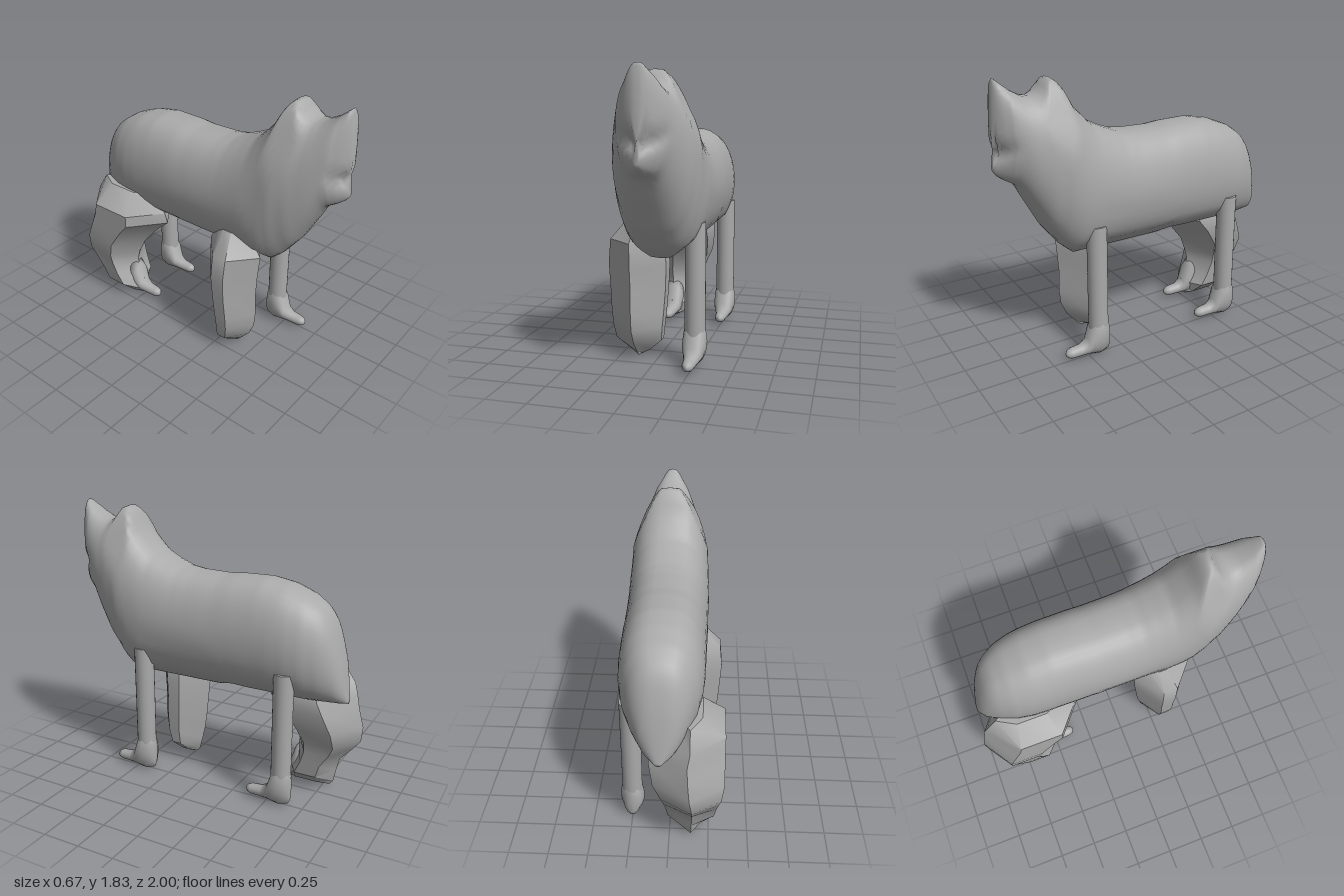
import * as THREE from 'three';
import { toCreasedNormals } from 'three/addons/utils/BufferGeometryUtils.js';

const CX = 0.055; // the body sits slightly off the centre line

// Piecewise linear lookup in [key, value] pairs, keys ascending
function lookup(table, k) {
  if (k <= table[0][0]) return table[0][1];
  for (let i = 1; i < table.length; i++) {
    const [a, va] = table[i - 1], [b, vb] = table[i];
    if (k <= b) return va + (vb - va) * (k - a) / (b - a);
  }
  return table[table.length - 1][1];
}

// Skin between closed rings of [x, y, z] points, capped at both ends
function loft(rings) {
  const n = rings[0].length, pos = rings.flat(2), idx = [];
  const quad = (a, b, c, d) => idx.push(a, b, d, b, c, d);
  for (let r = 0; r < rings.length - 1; r++)
    for (let i = 0; i < n; i++) {
      const j = (i + 1) % n;
      quad(r * n + i, r * n + j, (r + 1) * n + j, (r + 1) * n + i);
    }
  [0, rings.length - 1].forEach((r, end) => {
    const c = pos.length / 3;
    for (let k = 0; k < 3; k++) pos.push(rings[r].reduce((s, p) => s + p[k], 0) / n);
    for (let i = 0; i < n; i++) {
      const a = r * n + i, b = r * n + (i + 1) % n;
      end ? idx.push(a, b, c) : idx.push(b, a, c);
    }
  });
  // Turn the faces outward if the enclosed volume is negative
  const v = i => new THREE.Vector3(pos[i * 3], pos[i * 3 + 1], pos[i * 3 + 2]);
  let volume = 0;
  for (let i = 0; i < idx.length; i += 3) volume += v(idx[i]).dot(v(idx[i + 1]).cross(v(idx[i + 2])));
  if (volume < 0) idx.reverse();
  const geo = new THREE.BufferGeometry();
  geo.setAttribute('position', new THREE.Float32BufferAttribute(pos, 3));
  geo.setIndex(idx);
  geo.computeVertexNormals();
  return geo;
}

// Body profiles along z: back line, belly line and half width
const backLine = [[-0.95, 0.73], [-0.93, 0.86], [-0.9, 1.01], [-0.86, 1.15], [-0.82, 1.24], [-0.77, 1.3],
  [-0.68, 1.36], [-0.55, 1.41], [-0.4, 1.435], [-0.2, 1.43], [-0.1, 1.42], [0.1, 1.425], [0.2, 1.44],
  [0.3, 1.48], [0.4, 1.53], [0.46, 1.59], [0.52, 1.66], [0.58, 1.77], [0.62, 1.81], [0.65, 1.8],
  [0.69, 1.74], [0.75, 1.71], [0.81, 1.72], [0.88, 1.76], [0.94, 1.81], [0.965, 1.83], [0.98, 1.8], [1, 1.56]];
const bellyLine = [[-0.95, 0.7], [-0.3, 0.7], [-0.2, 0.71], [-0.1, 0.69], [0, 0.68], [0.3, 0.675], [0.52, 0.68],
  [0.6, 0.75], [0.7, 0.88], [0.8, 1.06], [0.87, 1.19], [0.94, 1.23], [0.98, 1.26], [1, 1.29]];
const bodyWidth = [[-0.95, 0.02], [-0.93, 0.06], [-0.9, 0.11], [-0.85, 0.155], [-0.8, 0.19], [-0.7, 0.235],
  [-0.6, 0.257], [-0.5, 0.265], [0, 0.275], [0.4, 0.28], [0.6, 0.268], [0.7, 0.24], [0.8, 0.2],
  [0.9, 0.15], [0.95, 0.1], [0.98, 0.06], [1, 0.02]];
// Widest half width allowed at each height
const heightWidth = [[0.67, 0.02], [0.7, 0.08], [0.74, 0.13], [0.8, 0.205], [0.9, 0.25], [1, 0.27], [1.1, 0.28],
  [1.3, 0.277], [1.4, 0.26], [1.5, 0.225], [1.6, 0.178], [1.7, 0.132], [1.77, 0.09], [1.8, 0.055], [1.83, 0.015]];

function bodyGeometry() {
  const rings = [], n = 40;
  const stations = [];
  for (let z = -0.95; z < 0.9; z += 0.025) stations.push(z);
  for (let z = 0.9; z < 0.999; z += 0.0125) stations.push(z);
  stations.push(1);
  for (const z of stations) {
    const top = lookup(backLine, z), low = lookup(bellyLine, z), w = lookup(bodyWidth, z);
    const ring = [];
    for (let i = 0; i < n; i++) {
      const a = i / n * Math.PI * 2, c = Math.cos(a);
      const y = (top + low) / 2 + (top - low) / 2 * Math.sin(a);
      const half = Math.min(w * Math.abs(c) ** 0.75, lookup(heightWidth, y));
      const x = Math.abs(c) < 1e-6 ? 0 : Math.sign(c) * half;
      // Mouth crease, curving up towards the cheeks
      const crease = Math.exp(-(((y - 1.4 - 2 * x * x) / 0.045) ** 2)) * Math.max(0, (z - 0.85) / 0.15);
      ring.push([CX + x, y, z - 0.045 * crease]);
    }
    rings.push(ring);
  }
  return loft(rings);
}

// Paw rows: [z, low y, high y, half width]
const paw = [[-0.068, 0.04, 0.2, 0.02], [-0.055, 0.015, 0.26, 0.055], [0, 0, 0.3, 0.078], [0.05, 0.01, 0.24, 0.072],
  [0.085, 0.02, 0.125, 0.055], [0.13, 0.02, 0.095, 0.043], [0.2, 0.02, 0.09, 0.037], [0.225, 0.028, 0.08, 0.028],
  [0.238, 0.04, 0.065, 0.01]];
function pawGeometry(rows) {
  return loft(rows.map(([z, lo, hi, w]) => Array.from({ length: 20 }, (_, i) => {
    const a = i / 20 * Math.PI * 2;
    return [w * Math.cos(a), (lo + hi) / 2 + (hi - lo) / 2 * Math.sin(a), z];
  })));
}

// Thick leg rows: [y, right x, left x, back z, front z]; six-sided with a ridge front and back
function thickLegGeometry(rows, flat) {
  const rings = rows.map(([y, x0, x1, z0, z1]) => {
    const mx = x0 + (x1 - x0) * 0.48, d = z1 - z0;
    const a = z0 + d * (0.5 - flat / 2), b = z0 + d * (0.5 + flat / 2);
    return [[mx, y, z1], [x0, y, b], [x0, y, a], [mx, y, z0], [x1, y, a], [x1, y, b]];
  });
  return toCreasedNormals(loft(rings), 0.6);
}
const frontThick = [[0.9, -0.2, -0.05, 0.2, 0.42], [0.76, -0.315, 0.04, 0.13, 0.53], [0.6, -0.33, 0.05, 0.135, 0.515],
  [0.45, -0.32, 0.045, 0.15, 0.505], [0.3, -0.31, 0.035, 0.165, 0.51], [0.2, -0.3, 0.025, 0.18, 0.5],
  [0.11, -0.285, 0.015, 0.2, 0.46], [0.03, -0.2, -0.07, 0.22, 0.39], [0, -0.15, -0.12, 0.24, 0.36]];
const rearThick = [[0.89, -0.2, -0.05, -0.85, -0.39], [0.77, -0.34, 0.1, -0.93, -0.29], [0.69, -0.34, 0.13, -0.955, -0.28],
  [0.6, -0.34, 0.125, -0.97, -0.38], [0.47, -0.34, 0.1, -1, -0.49], [0.36, -0.325, 0.05, -0.985, -0.54],
  [0.29, -0.31, 0.035, -0.93, -0.56], [0.2, -0.3, 0.025, -0.85, -0.55], [0.11, -0.285, 0.015, -0.83, -0.5],
  [0.03, -0.2, -0.07, -0.815, -0.47], [0, -0.15, -0.12, -0.79, -0.5]];

export function createModel() {
  const grey = new THREE.MeshStandardMaterial({ color: 0xaaaaaa });
  grey.name = 'grey';
  const model = new THREE.Group();
  model.name = 'wolf';
  const add = (parent, name, geo, x = 0, y = 0, z = 0) => {
    const mesh = new THREE.Mesh(geo, grey);
    mesh.name = name;
    mesh.position.set(x, y, z);
    parent.add(mesh);
    return mesh;
  };

  add(model, 'bodyAndHead', bodyGeometry());

  // Slender legs on the left side
  for (const [name, z] of [['frontLeftLeg', 0.425], ['rearLeftLeg', -0.595]]) {
    const leg = new THREE.Group();
    leg.name = name;
    leg.position.set(0.25, 0, z);
    add(leg, 'shank', new THREE.CylinderGeometry(0.065, 0.065, 0.78, 20), 0, 0.51, 0);
    add(leg, 'paw', pawGeometry(paw));
    model.add(leg);
  }

  // Thick legs on the right side; the rear one has a toe in front
  add(model, 'frontRightLeg', thickLegGeometry(frontThick, 0.25));
  add(model, 'rearRightLeg', thickLegGeometry(rearThick, 0.45));
  add(model, 'rearRightToe', pawGeometry(paw.slice(2)), -0.14, 0, -0.595);
  return model;
}
